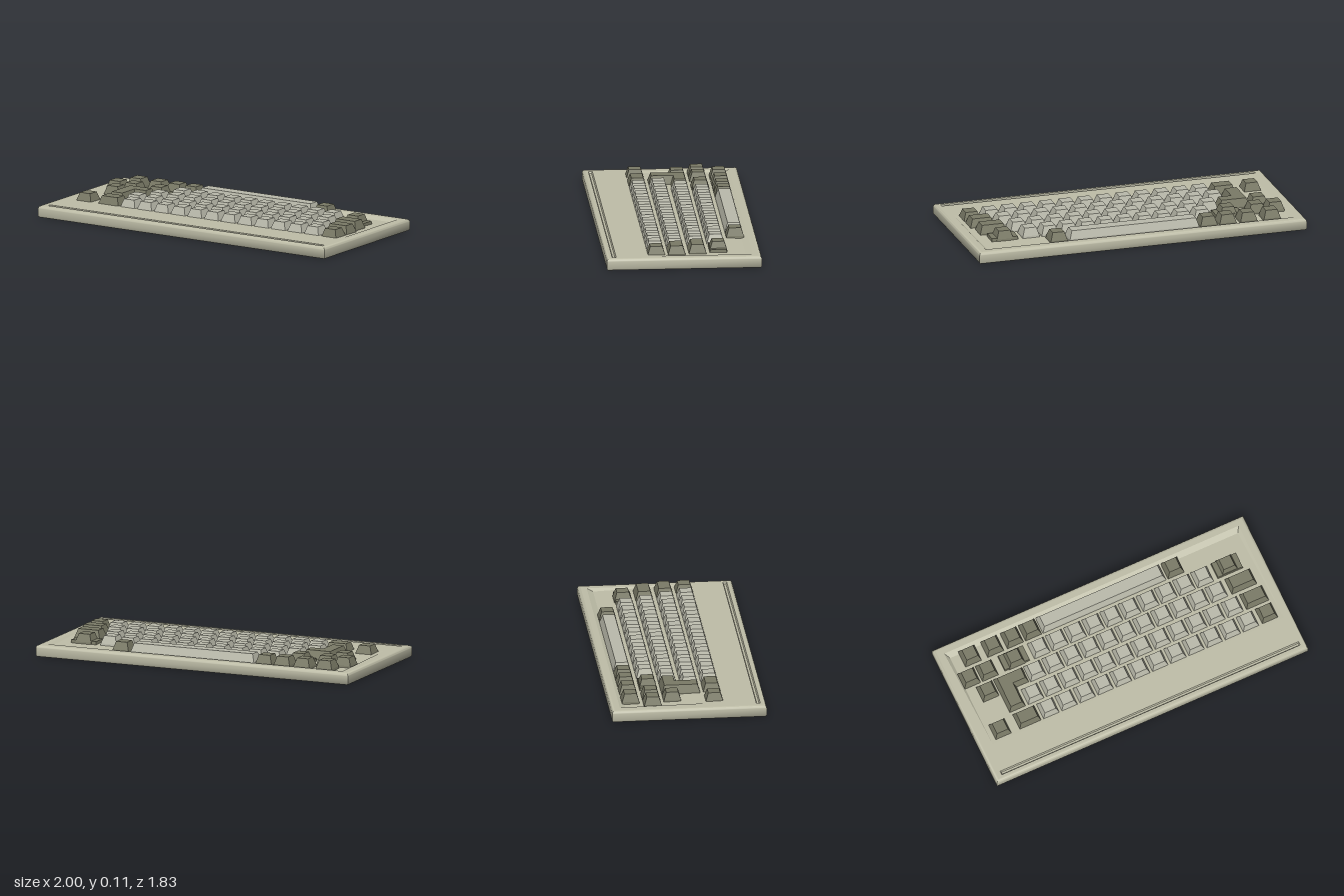
import * as THREE from 'three';
import { toCreasedNormals } from 'three/addons/utils/BufferGeometryUtils.js';

const material = (name, color) => new THREE.MeshStandardMaterial({ name, color });

// Joins closed loops of [x, y, z] points and closes the last one with a fan
function loft(loops, cap = true) {
  const pos = [];
  const tri = (a, b, c) => pos.push(...a, ...b, ...c);
  for (let k = 0; k + 1 < loops.length; k++) {
    const lo = loops[k], up = loops[k + 1];
    lo.forEach((p, i) => {
      const j = (i + 1) % lo.length;
      tri(p, lo[j], up[j]);
      tri(p, up[j], up[i]);
    });
  }
  const top = loops[loops.length - 1];
  if (cap) for (let i = 1; i + 1 < top.length; i++) tri(top[0], top[i], top[i + 1]);
  const geo = new THREE.BufferGeometry();
  geo.setAttribute('position', new THREE.Float32BufferAttribute(pos, 3));
  geo.computeVertexNormals();
  return geo;
}

// Rectangle loop; back and front edges may have different heights
const rect = (x0, x1, z0, z1, y0, y1 = y0) =>
  [[x0, y0, z0], [x0, y1, z1], [x1, y1, z1], [x1, y0, z0]];

const W = 0.938, D = 0.425, TOP = 0.065;
const PITCH = 0.1094, KEY_TOP = 0.108, KEY_BASE = 0.045, KEY = 0.1;

export function createModel() {
  const model = new THREE.Group();
  model.name = 'keyboard';
  const casing = material('caseBeige', 0xbfbea8);
  const light = material('lightKeys', 0xbbbbac);
  const dark = material('darkKeys', 0x7b7b67);

  const add = (name, geo, mat, parent = model) => {
    const mesh = new THREE.Mesh(geo, mat);
    mesh.name = name;
    parent.add(mesh);
    return mesh;
  };

  // Case sides with a rounded upper edge
  const R = 0.016;
  const inset = (d, y) => rect(-W + d, W - d, -D + d, D - d, y);
  const sides = [inset(0.006, 0), inset(0, 0.008)];
  for (let i = 0; i <= 5; i++) {
    const a = (i / 5) * Math.PI / 2;
    sides.push(inset(R * (1 - Math.cos(a)), TOP - R + R * Math.sin(a)));
  }
  add('caseSides', toCreasedNormals(loft(sides, false), 0.7), casing);
  add('caseBottom', new THREE.PlaneGeometry(2 * W - 0.012, 2 * D - 0.012).rotateX(Math.PI / 2), casing);

  // Top face with openings for the key bed and the long slot
  const outline = (x0, x1, z0, z1, Type) => {
    const s = new Type();
    s.moveTo(x0, -z0).lineTo(x1, -z0).lineTo(x1, -z1).lineTo(x0, -z1).closePath();
    return s;
  };
  const bed = [-0.885, 0.89, -0.378, 0.21];
  const slot = [-0.895, 0.905, 0.372, 0.394];
  const face = outline(-W + R, W - R, -D + R, D - R, THREE.Shape);
  face.holes.push(outline(...bed, THREE.Path), outline(...slot, THREE.Path));
  add('caseTop', new THREE.ShapeGeometry(face).rotateX(-Math.PI / 2).translate(0, TOP, 0), casing);

  // Key bed slopes up until it meets the top face
  add('keyBed', loft([rect(...bed, TOP), rect(-0.865, 0.87, -0.345, 0.21, 0.052, TOP)]), casing);
  add('slot', loft([rect(...slot, TOP), rect(-0.89, 0.9, 0.377, 0.389, 0.055)]), casing);

  // Tapered key caps
  const keys = new THREE.Group();
  keys.name = 'keys';
  model.add(keys);
  const key = (name, x, z, mat, w = KEY, d = KEY) => {
    const loop = (s, y) => rect(x - w / 2 + s, x + w / 2 - s, z - d / 2 + s, z + d / 2 - s, y);
    add(name, loft([loop(0, KEY_BASE), loop(0.003, TOP), loop(0.017, KEY_TOP)]), mat, keys);
  };

  // Light letter keys: first x, z, count
  const rows = [
    [-0.503, 0.148, 12],
    [-0.544, 0.036, 12],
    [-0.476, -0.08, 11],
    [-0.4, -0.193, 10],
  ];
  for (const [x, z, n] of rows) {
    for (let i = 0; i < n; i++) key('letterKey', x + i * PITCH, z, light);
  }
  key('spaceBar', 0.028, -0.31, light, 0.745);

  // Dark function keys: x, z, width
  const functionKeys = [
    [-0.792, 0.148], [-0.63, 0.148, 0.135], [0.815, 0.148],
    [0.792, 0.036, 0.14],
    [-0.761, -0.08], [0.765, -0.08, 0.155],
    [-0.821, -0.193], [-0.714, -0.193], [-0.55, -0.193], [0.735, -0.198],
    [-0.762, -0.31], [-0.628, -0.31], [-0.509, -0.31], [-0.4, -0.31], [0.46, -0.31],
  ];
  for (const [x, z, w] of functionKeys) key('functionKey', x, z, dark, w);

  // Low stepped bases under the two shift keys
  for (const x of [-0.55, 0.735]) {
    const base = (s, y) => rect(x - 0.077 + s, x + 0.077 - s, -0.243 + s, -0.147 - s, y);
    add('shiftBase', loft([base(0, KEY_BASE), base(0.003, 0.072)]), dark, keys);
  }

  // L-shaped enter key, starting from its inner corner
  const enter = (s, y) => [
    [-0.605 - s, -0.035 - s], [-0.53 - s, -0.035 - s], [-0.53 - s, -0.13 + s],
    [-0.706 + s, -0.13 + s], [-0.706 + s, 0.086 - s], [-0.605 - s, 0.086 - s],
  ].map(([x, z]) => [x, y, z]);
  add('enterKey', loft([enter(0, KEY_BASE), enter(0.003, TOP), enter(0.017, KEY_TOP)]), dark, keys);

  // The keyboard lies turned on the ground
  model.rotation.y = -0.67;
  const root = new THREE.Group();
  root.name = 'turnedKeyboard';
  root.add(model);
  return root;
}
